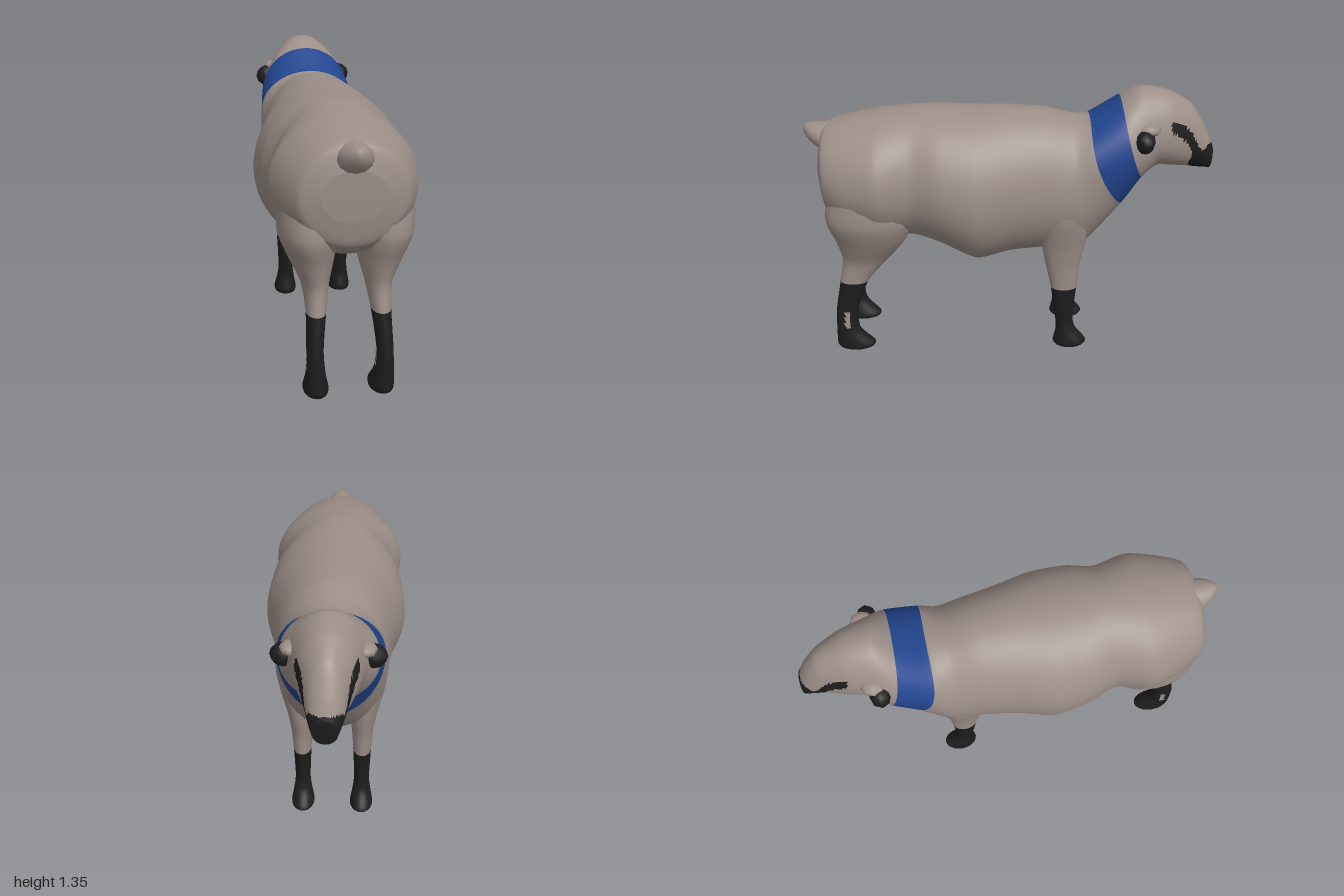
import * as THREE from 'three';

const mats = {
  wool: new THREE.MeshStandardMaterial({ color: 0x9c8e87 }),
  black: new THREE.MeshStandardMaterial({ color: 0x1d1d1d }),
  blue: new THREE.MeshStandardMaterial({ color: 0x22458f }),
};
for (const k in mats) mats[k].name = k;

// Smooth loft through rings. Each ring: a and b are opposite rim points [x, y, z],
// w is the half width in x, f the place of the widest line (0 = b, 1 = a), bow bends it in z.
// paint(t, point) gives 'partName:material' for each face; parts share one set of normals.
function loft(group, rings, sides, sub, paint) {
  const curve = (fn) => new THREE.CatmullRomCurve3(rings.map(fn), false, 'catmullrom', 0.35);
  const A = curve((r) => new THREE.Vector3(...r.a));
  const B = curve((r) => new THREE.Vector3(...r.b));
  const S = curve((r) => new THREE.Vector3(r.w, r.f ?? 0.5, r.bow ?? 0));
  const rows = (rings.length - 1) * sub;
  const pts = [];
  for (let i = 0; i <= rows; i++) {
    const t = i / rows, a = A.getPoint(t), b = B.getPoint(t), s = S.getPoint(t);
    const c = b.clone().lerp(a, s.y);
    for (let j = 0; j < sides; j++) {
      const th = (j / sides) * Math.PI * 2, cos = Math.cos(th), sin = Math.sin(th);
      const p = c.clone().lerp(cos > 0 ? a : b, Math.abs(cos));
      p.x += s.x * sin;
      p.z += s.z * sin * sin;
      pts.push(p);
    }
  }
  const start = pts.length;
  pts.push(A.getPoint(0).lerp(B.getPoint(0), 0.5), A.getPoint(1).lerp(B.getPoint(1), 0.5));

  const all = [], parts = {};
  const face = (t, ...ids) => {
    const mid = ids.reduce((m, i) => m.add(pts[i]), new THREE.Vector3()).divideScalar(3);
    (parts[paint(t, mid)] ??= []).push(...ids);
    all.push(...ids);
  };
  for (let j = 0; j < sides; j++) {
    const k = (j + 1) % sides, last = rows * sides;
    face(0, start, k, j);
    face(rings.length - 1, start + 1, last + j, last + k);
    for (let i = 0; i < rows; i++) {
      const o = i * sides, n = o + sides, t = (i + 0.5) / sub;
      face(t, o + j, o + k, n + j);
      face(t, o + k, n + k, n + j);
    }
  }
  const base = new THREE.BufferGeometry().setFromPoints(pts);
  base.setIndex(all);
  base.computeVertexNormals();
  for (const key in parts) {
    const [name, mat] = key.split(':');
    const g = new THREE.BufferGeometry();
    g.setAttribute('position', base.attributes.position);
    g.setAttribute('normal', base.attributes.normal);
    g.setIndex(parts[key]);
    const mesh = new THREE.Mesh(g, mats[mat]);
    mesh.name = name;
    group.add(mesh);
  }
}

function inside(poly, x, y) {
  let hit = false;
  for (let i = 0, j = poly.length - 1; i < poly.length; j = i++) {
    const [xi, yi] = poly[i], [xj, yj] = poly[j];
    if ((yi > y) !== (yj > y) && x < ((xj - xi) * (y - yi)) / (yj - yi) + xi) hit = !hit;
  }
  return hit;
}

// Rings from rump to nose: top z, y, bottom z, y, half width, widest place, bow
const bodyRings = [
  [0.93, 1.06, 0.92, 0.84, 0.14],
  [0.90, 1.17, 0.89, 0.72, 0.235],
  [0.80, 1.205, 0.80, 0.65, 0.29],
  [0.64, 1.235, 0.64, 0.61, 0.335],
  [0.47, 1.255, 0.48, 0.60, 0.295],
  [0.34, 1.255, 0.34, 0.555, 0.335],
  [0.17, 1.25, 0.17, 0.47, 0.352],
  [0.00, 1.25, 0.00, 0.503, 0.31],
  [-0.17, 1.24, -0.17, 0.515, 0.28],
  [-0.29, 1.21, -0.35, 0.525, 0.265],
  [-0.385, 1.205, -0.56, 0.76, 0.25, 0.55, 0.045],
  [-0.53, 1.30, -0.65, 0.90, 0.225, 0.45, 0.02],
  [-0.62, 1.35, -0.72, 0.955, 0.172, 0.45],
  [-0.76, 1.33, -0.79, 0.95, 0.14, 0.45],
  [-0.88, 1.26, -0.88, 0.94, 0.098, 0.45],
  [-0.95, 1.15, -0.95, 0.932, 0.075],
  [-0.995, 1.05, -0.985, 0.93, 0.055],
];
const COLLAR = 10, HEAD = 11;

// Dark muzzle and cheek stripe, in z, y
const faceMark = [
  [-0.765, 1.21], [-0.80, 1.205], [-0.87, 1.15], [-0.91, 1.075], [-0.935, 1.045], [-0.96, 1.07],
  [-1.03, 1.07], [-1.03, 0.90], [-0.90, 0.90], [-0.87, 0.98], [-0.885, 1.04], [-0.86, 1.09],
  [-0.80, 1.145], [-0.765, 1.165],
];

// Leg rings from top to hoof: y, x, front z, back z, half width
const hindRings = [
  [1.00, 0.16, 0.50, 0.86, 0.13],
  [0.75, 0.17, 0.48, 0.905, 0.135],
  [0.62, 0.155, 0.52, 0.865, 0.105],
  [0.50, 0.142, 0.62, 0.84, 0.062],
  [0.38, 0.146, 0.72, 0.86, 0.045],
  [0.22, 0.157, 0.78, 0.89, 0.038],
  [0.10, 0.155, 0.775, 0.897, 0.045],
  [0.02, 0.15, 0.705, 0.90, 0.058],
  [0.00, 0.15, 0.71, 0.89, 0.055],
];
const foreRings = [
  [0.95, 0.17, -0.36, -0.14, 0.085],
  [0.75, 0.175, -0.385, -0.135, 0.085],
  [0.58, 0.155, -0.37, -0.155, 0.068],
  [0.45, 0.15, -0.345, -0.18, 0.053],
  [0.335, 0.15, -0.335, -0.205, 0.045],
  [0.16, 0.15, -0.32, -0.23, 0.038],
  [0.09, 0.15, -0.335, -0.235, 0.045],
  [0.02, 0.15, -0.39, -0.22, 0.058],
  [0.00, 0.15, -0.38, -0.23, 0.055],
];

export function createModel() {
  const model = new THREE.Group();
  model.name = 'sheep';

  // Torso, collar and head in one continuous skin
  loft(model, bodyRings.map(([za, ya, zb, yb, w, f, bow]) =>
    ({ a: [0, ya, za], b: [0, yb, zb], w, f, bow })), 56, 8, (t, p) => {
    if (t < COLLAR) return 'torso:wool';
    if (t < HEAD) return 'collar:blue';
    return inside(faceMark, p.z, p.y) ? 'faceMarking:black' : 'head:wool';
  });

  // Stubby tail, from tip to root
  loft(model, [
    [1.0, 1.168, 1.13, 0.012], [0.975, 1.178, 1.09, 0.045],
    [0.92, 1.18, 1.045, 0.078], [0.82, 1.19, 1.03, 0.08],
  ].map(([z, ya, yb, w]) => ({ a: [0, ya, z], b: [0, yb, z], w })), 12, 2, () => 'tail:wool');

  for (const side of [1, -1]) {
    const sideName = side > 0 ? 'left' : 'right';
    const leg = (name, rings, sockTop, patch) => {
      const g = new THREE.Group();
      g.name = sideName + name;
      loft(g, rings.map(([y, x, za, zb, w]) =>
        ({ a: [x * side, y, za], b: [x * side, y, zb], w })), 20, 4, (t, p) => {
        if (p.y > sockTop) return 'upperLeg:wool';
        return patch && p.y > 0.13 && p.y < 0.23 && Math.abs(p.z - 0.835) < 0.012
          ? 'shinPatch:wool' : 'sock:black';
      });
      model.add(g);
    };
    leg('HindLeg', hindRings, 0.37, true);
    leg('FrontLeg', foreRings, 0.335, false);

    // Small drooping ear with a woolly root
    const ear = new THREE.Mesh(new THREE.SphereGeometry(1, 8, 6), mats.black);
    ear.name = sideName + 'Ear';
    ear.scale.set(0.062, 0.056, 0.05);
    ear.position.set(0.193 * side, 1.137, -0.632);
    const root = new THREE.Mesh(new THREE.SphereGeometry(1, 8, 6), mats.wool);
    root.name = sideName + 'EarRoot';
    root.scale.set(0.05, 0.03, 0.055);
    root.position.set(0.16 * side, 1.185, -0.655);
    model.add(ear, root);
  }
  return model;
}
